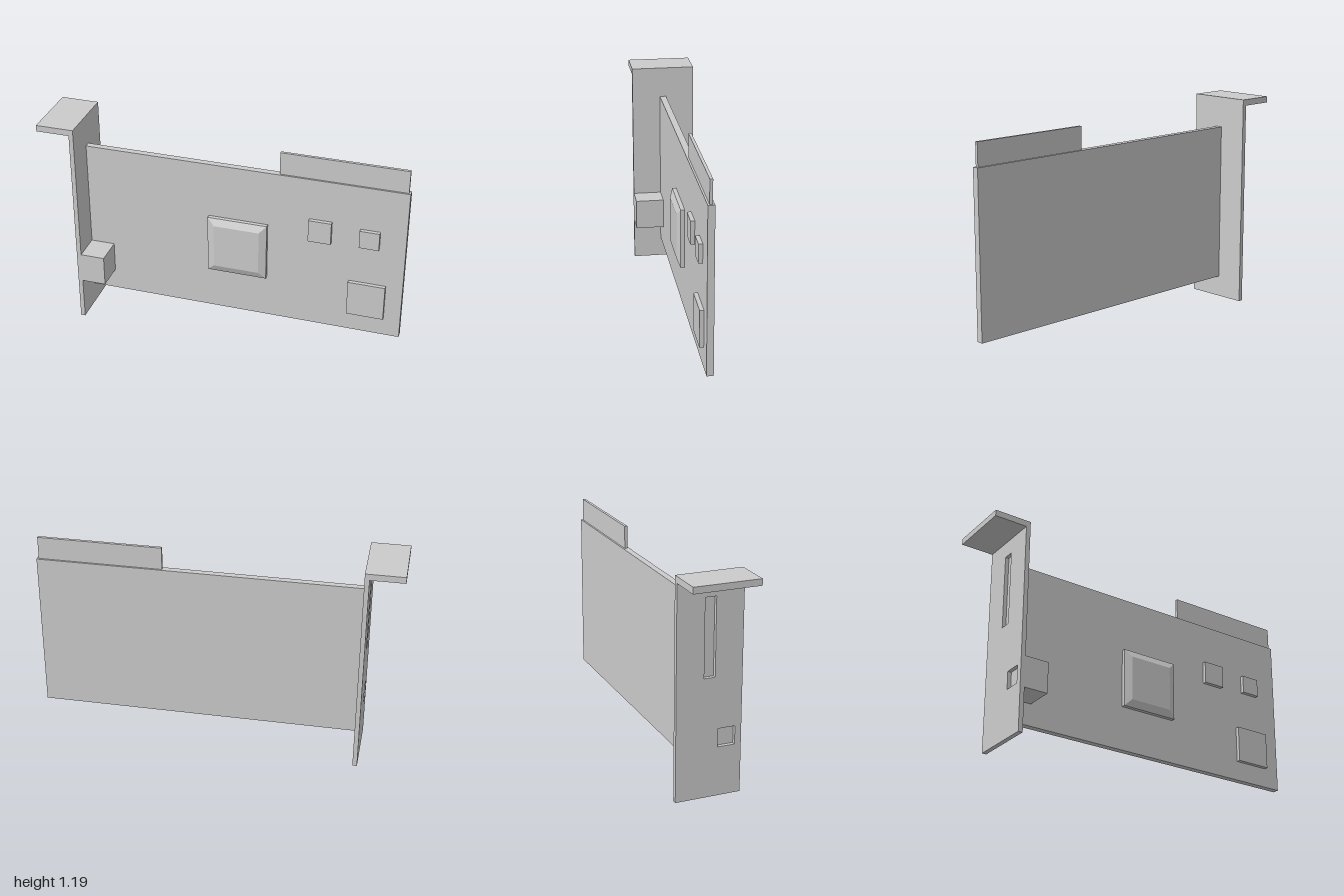
import * as THREE from 'three';

const material = new THREE.MeshStandardMaterial({ color: 0xcccccc, flatShading: true });

export function createModel() {
  const group = new THREE.Group();

  const add = (name, geometry) => {
    const mesh = new THREE.Mesh(geometry, material);
    mesh.name = name;
    group.add(mesh);
    return mesh;
  };

  // Box given by its limits on each axis
  const block = (name, [x0, x1], [y0, y1], [z0, z1]) => {
    const mesh = add(name, new THREE.BoxGeometry(x1 - x0, y1 - y0, z1 - z0));
    mesh.position.set((x0 + x1) / 2, (y0 + y1) / 2, (z0 + z1) / 2);
    return mesh;
  };

  // Rectangle outline in (z, y)
  const rectangle = (path, [z0, z1], [y0, y1]) => {
    path.moveTo(z0, y0);
    path.lineTo(z1, y0);
    path.lineTo(z1, y1);
    path.lineTo(z0, y1);
    path.closePath();
    return path;
  };

  // Circuit board and edge connector
  block('circuitBoard', [-0.79, 0.995], [0.12, 1.02], [-0.018, 0.018]);
  block('edgeConnector', [0.3, 0.985], [1.02, 1.147], [-0.008, 0.008]);

  // Bracket: outer sheet with a long slot and a port opening, closed by a thin inner sheet
  const sheet = rectangle(new THREE.Shape(), [-0.18, 0.18], [0, 1.16]);
  sheet.holes.push(
    rectangle(new THREE.Path(), [-0.03, 0.03], [0.65, 1.07]),
    rectangle(new THREE.Path(), [0.05, 0.145], [0.27, 0.37]),
  );
  const sheetGeometry = new THREE.ExtrudeGeometry(sheet, { depth: 0.021, bevelEnabled: false });
  sheetGeometry.rotateY(-Math.PI / 2); // shape x becomes z, depth runs to -x
  sheetGeometry.translate(-0.794, 0, 0);
  add('bracketPlate', sheetGeometry);
  block('bracketInnerSheet', [-0.794, -0.79], [0, 1.16], [-0.18, 0.18]);
  block('bracketFlange', [-1, -0.79], [1.158, 1.193], [-0.18, 0.18]);

  // Port housing behind the bracket opening
  block('portHousing', [-0.79, -0.655], [0.242, 0.415], [0.018, 0.18]);

  // Main processor with a bevelled lid
  block('processorBase', [-0.09, 0.243], [0.37, 0.704], [0.018, 0.04]);
  const lid = block('processorLid', [-0.09, 0.243], [0.37, 0.704], [0.04, 0.057]);
  const p = lid.geometry.attributes.position;
  for (let i = 0; i < p.count; i++) {
    if (p.getZ(i) > 0) p.setXY(i, p.getX(i) * 0.76, p.getY(i) * 0.76);
  }
  lid.geometry.computeVertexNormals();

  // Small chips
  const chips = [
    [[0.47, 0.595], [0.655, 0.783]],
    [[0.748, 0.855], [0.665, 0.768]],
    [[0.7, 0.904], [0.232, 0.436]],
  ];
  chips.forEach(([x, y], i) => block(`chip${i + 1}`, x, y, [0.018, 0.04]));

  return group;
}
